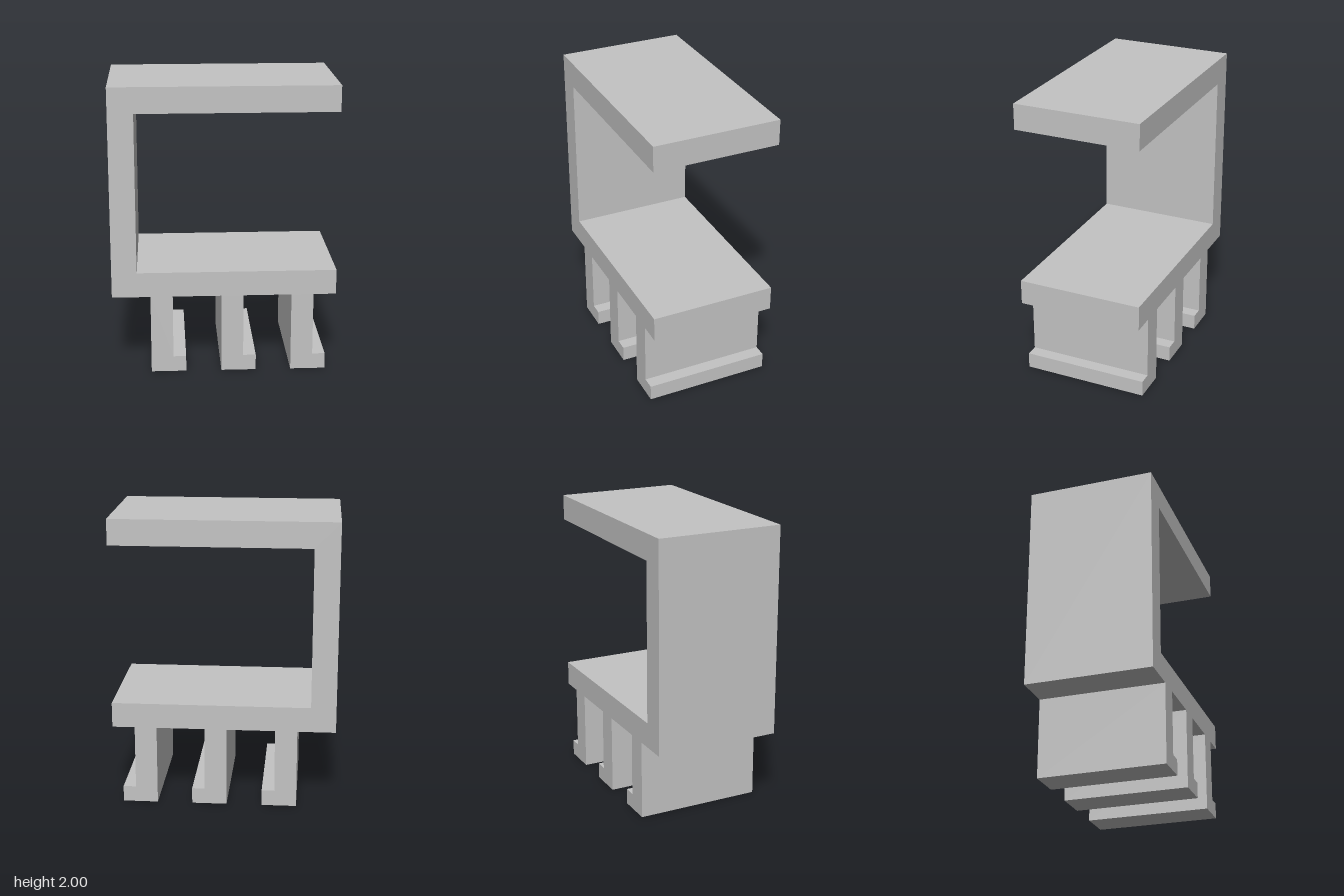
import * as THREE from 'three';

const DEPTH = 0.875;

export function createModel() {
  const grey = new THREE.MeshStandardMaterial({ color: 0xc3c3c3 });
  grey.name = 'lightGrey';

  // C-shaped clamp outline, starting at the lower left corner
  const profile = new THREE.Shape();
  profile.moveTo(-0.767, 0.552);

  // three L-shaped hooks hanging from the lower arm
  for (const x of [-0.505, -0.021, 0.461]) {
    profile.lineTo(x, 0.552);
    profile.lineTo(x, 0);
    profile.lineTo(x + 0.24, 0);
    profile.lineTo(x + 0.24, 0.11);
    profile.lineTo(x + 0.152, 0.11);
    profile.lineTo(x + 0.152, 0.552);
  }

  // lower arm, inner opening, upper arm and back wall
  profile.lineTo(0.767, 0.552);
  profile.lineTo(0.767, 0.725);
  profile.lineTo(-0.595, 0.725);
  profile.lineTo(-0.595, 1.823);
  profile.lineTo(0.767, 1.823);
  profile.lineTo(0.767, 2);
  profile.lineTo(-0.767, 2);
  profile.closePath();

  const geometry = new THREE.ExtrudeGeometry(profile, { depth: DEPTH, bevelEnabled: false });
  geometry.translate(0, 0, -DEPTH / 2);

  const bracket = new THREE.Mesh(geometry, grey);
  bracket.name = 'clampWithHooks';

  const model = new THREE.Group();
  model.name = 'hookBracket';
  model.add(bracket);
  return model;
}
